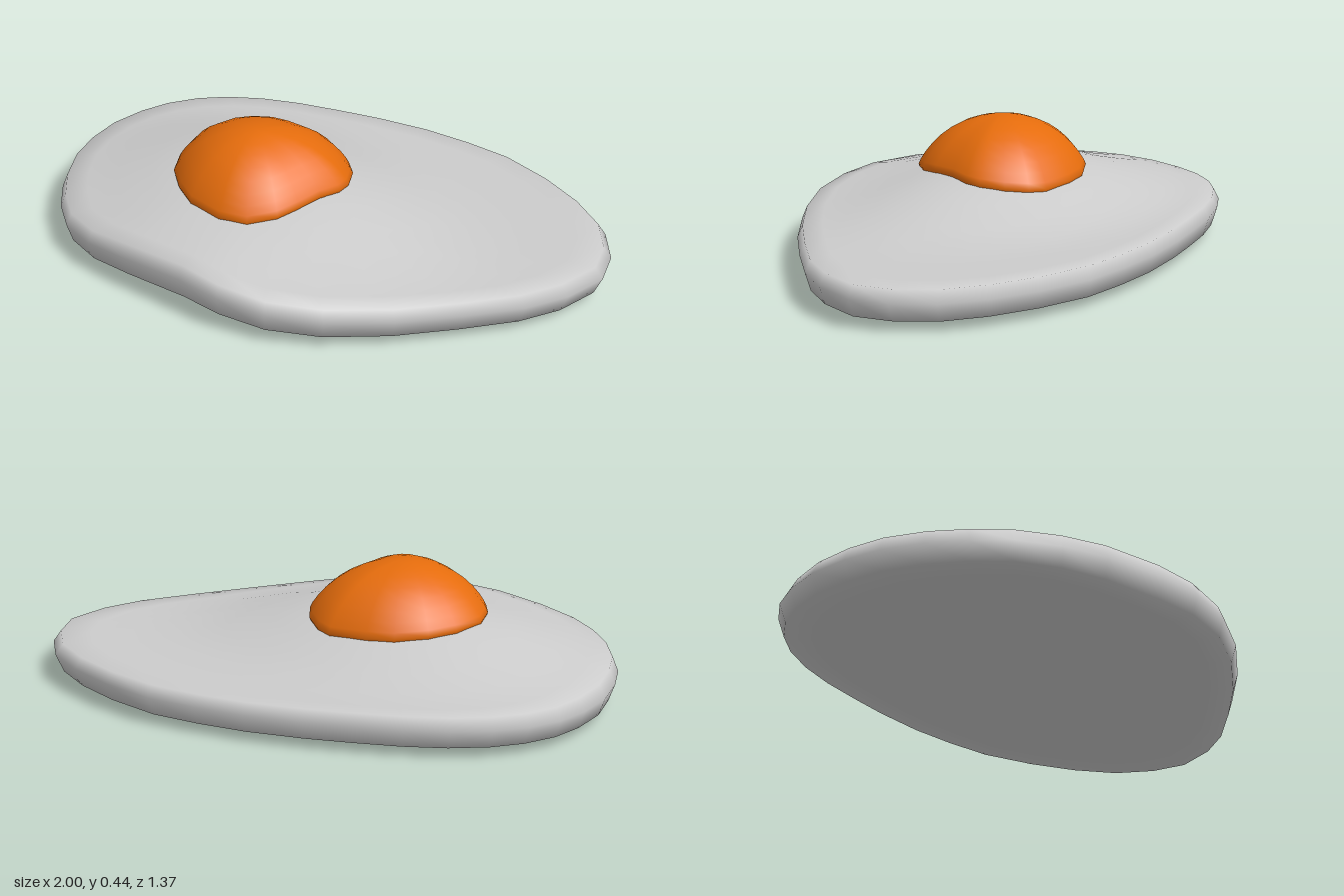
import * as THREE from 'three';

const { smoothstep } = THREE.MathUtils;
const gauss = (x, z, cx, cz, r) => Math.exp(-((x - cx) ** 2 + (z - cz) ** 2) / (r * r));

// Outlines as x, z pairs, counter-clockwise seen from above
const whiteOutline = [
  1, -0.22, 0.96, -0.35, 0.87, -0.47, 0.73, -0.56, 0.56, -0.63, 0.36, -0.68, 0.18, -0.685, 0, -0.675,
  -0.2, -0.64, -0.36, -0.6, -0.52, -0.555, -0.66, -0.5, -0.78, -0.43, -0.87, -0.35, -0.94, -0.25, -0.98, -0.14,
  -1, 0, -0.985, 0.14, -0.95, 0.27, -0.88, 0.4, -0.79, 0.51, -0.68, 0.6, -0.53, 0.655, -0.35, 0.675,
  -0.1, 0.68, 0.06, 0.685, 0.23, 0.65, 0.4, 0.555, 0.58, 0.405, 0.74, 0.24, 0.88, 0.08, 0.96, -0.06,
];
const yolkOutline = [
  0.105, 0.05, 0.1, -0.01, 0.06, -0.09, 0, -0.15, -0.06, -0.18, -0.2, -0.18, -0.3, -0.16, -0.4, -0.1,
  -0.47, -0.02, -0.51, 0.1, -0.49, 0.2, -0.45, 0.28, -0.37, 0.35, -0.28, 0.4, -0.14, 0.42, -0.04, 0.39,
  0.03, 0.31, 0.06, 0.23, 0.08, 0.13,
];

// Front edge curls up a little
const lift = (x, z) => 0.05 * Math.exp(-(((x + 0.12) / 0.42) ** 2)) * smoothstep(z, 0.32, 0.68);

// Upper surface: a soft mound below the yolk that flattens towards the rim
function topHeight(x, z) {
  const d = Math.hypot(x + 0.2, (z - 0.12) * 1.4);
  return 0.14 + 0.13 * (1 - smoothstep(d, 0.15, 0.9)) + lift(x, z);
}

// Underside: nearly flat with two shallow sags
function bottomHeight(x, z) {
  return 0.037 + lift(x, z) * 0.8
    - 0.037 * gauss(x, z, -0.3, -0.13, 0.22) - 0.027 * gauss(x, z, 0.3, -0.37, 0.15);
}

// Skin of scaled copies of an outline, from the top centre to the bottom centre
function loft(outline, cx, cz, rings) {
  const n = outline.length / 2;
  const positions = [cx, rings[0].height(cx, cz), cz];
  const index = [];
  const body = rings.slice(1, -1);
  for (const { t, height } of body) {
    for (let i = 0; i < n; i++) {
      const x = cx + (outline[2 * i] - cx) * t;
      const z = cz + (outline[2 * i + 1] - cz) * t;
      positions.push(x, height(x, z), z);
    }
  }
  positions.push(cx, rings[rings.length - 1].height(cx, cz), cz);
  const end = body.length * n + 1;
  for (let i = 0; i < n; i++) {
    const j = (i + 1) % n;
    index.push(0, 1 + i, 1 + j);
    for (let r = 0; r < body.length - 1; r++) {
      const a = 1 + r * n, b = a + n;
      index.push(a + i, b + i, b + j, a + i, b + j, a + j);
    }
    index.push(end, end - n + j, end - n + i);
  }
  const geometry = new THREE.BufferGeometry();
  geometry.setAttribute('position', new THREE.Float32BufferAttribute(positions, 3));
  geometry.setIndex(index);
  geometry.computeVertexNormals();
  return geometry;
}

const ring = (t, height) => ({ t, height });

function part(name, geometry, color) {
  const mesh = new THREE.Mesh(geometry, new THREE.MeshStandardMaterial({ color }));
  mesh.name = name;
  return mesh;
}

export function createModel() {
  const group = new THREE.Group();
  group.name = 'friedEgg';

  // Egg white: upper skin, rounded rim, underside
  const whiteRings = [
    ...[0, 0.15, 0.3, 0.45, 0.6, 0.75, 0.88, 0.975].map((t) => ring(t, topHeight)),
    ring(1, (x, z) => 0.1 + lift(x, z)),
    ...[0.975, 0.85, 0.7, 0.55, 0.42, 0.32, 0.2, 0].map((t) => ring(t, bottomHeight)),
  ];
  group.add(part('eggWhite', loft(whiteOutline, -0.1, 0.06, whiteRings), 0xcccccc));

  // Yolk: a dome whose edge follows the white below it
  const dome = (t) => ring(t, (x, z) => {
    const base = topHeight(x, z) + 0.01;
    return base + (0.44 - base) * (1 - t * t) ** 0.84;
  });
  const yolkRings = [
    ...[0, 0.15, 0.3, 0.45, 0.6, 0.72, 0.83, 0.91, 0.97, 1].map(dome),
    ring(0.97, (x, z) => topHeight(x, z) - 0.015),
    ring(0, () => 0.22),
  ];
  group.add(part('yolk', loft(yolkOutline, -0.2, 0.13, yolkRings), 0xe56c0c));

  return group;
}
